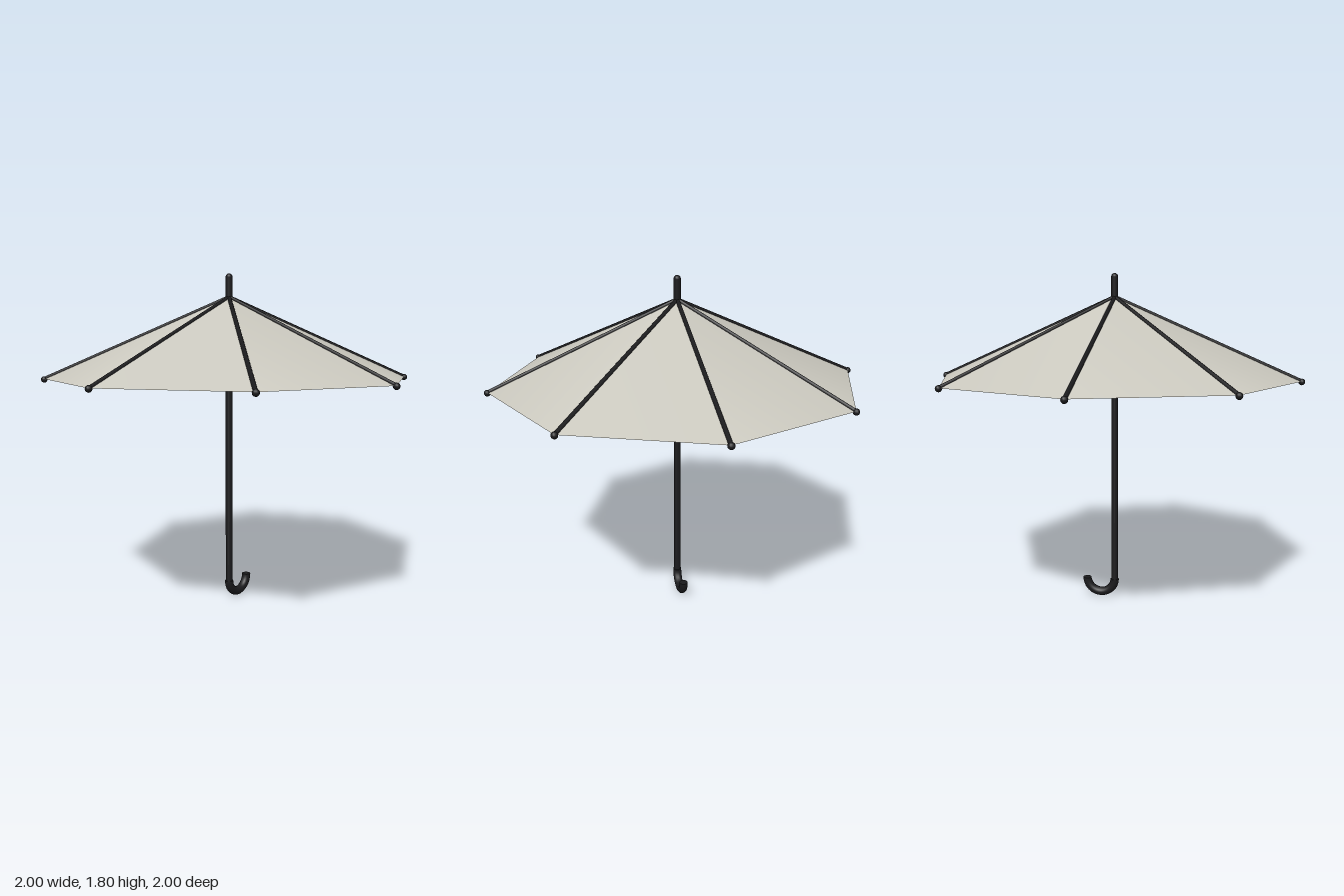
import * as THREE from 'three';

const black = new THREE.MeshStandardMaterial({ color: 0x1a1a1c });
black.name = 'black';
const fabric = new THREE.MeshStandardMaterial({ color: 0xcac8be, side: THREE.DoubleSide });
fabric.name = 'pale grey fabric';

const SIDES = 8, RADIUS = 0.983, APEX = 1.68, RIM = 1.25;
const HOOK_R = 0.08, HOOK_TUBE = 0.024, HOOK_Y = HOOK_R + HOOK_TUBE;

function add(parent, name, geometry, material, x = 0, y = 0, z = 0) {
  const mesh = new THREE.Mesh(geometry, material);
  mesh.name = name;
  mesh.position.set(x, y, z);
  parent.add(mesh);
  return mesh;
}

export function createModel() {
  const model = new THREE.Group();
  model.name = 'umbrella';

  // Eight-sided open canopy
  add(model, 'canopy', new THREE.ConeGeometry(RADIUS, APEX - RIM, SIDES, 1, true),
    fabric, 0, (APEX + RIM) / 2, 0);

  // Ribs along the canopy folds, each ending in a small ball
  const slope = Math.hypot(RADIUS, APEX - RIM);
  const ribGeometry = new THREE.CylinderGeometry(0.011, 0.011, slope, 8);
  const tipGeometry = new THREE.SphereGeometry(0.017, 12, 8);
  for (let i = 0; i < SIDES; i++) {
    const rib = new THREE.Group();
    rib.name = 'rib';
    rib.rotation.y = (i / SIDES) * Math.PI * 2;
    const rod = add(rib, 'ribRod', ribGeometry, black, RADIUS / 2, (APEX + RIM) / 2, 0);
    rod.rotation.z = Math.atan2(RADIUS, APEX - RIM);
    add(rib, 'ribTip', tipGeometry, black, RADIUS, RIM - 0.002, 0);
    model.add(rib);
  }

  // Shaft with a rounded top
  const top = 1.785;
  add(model, 'shaft', new THREE.CylinderGeometry(0.019, 0.019, top - HOOK_Y, 16),
    black, 0, (top + HOOK_Y) / 2, 0);
  add(model, 'shaftTip', new THREE.SphereGeometry(0.019, 16, 8), black, 0, top, 0);

  // Hooked handle: lower half ring with flat ends
  const hook = add(model, 'handle',
    new THREE.TorusGeometry(HOOK_R, HOOK_TUBE, 12, 24, Math.PI), black, HOOK_R, HOOK_Y, 0);
  hook.rotation.z = Math.PI;
  for (const x of [0, 2 * HOOK_R]) {
    const cap = add(model, 'handleEnd', new THREE.CircleGeometry(HOOK_TUBE, 12), black, x, HOOK_Y, 0);
    cap.rotation.x = -Math.PI / 2;
  }
  return model;
}
